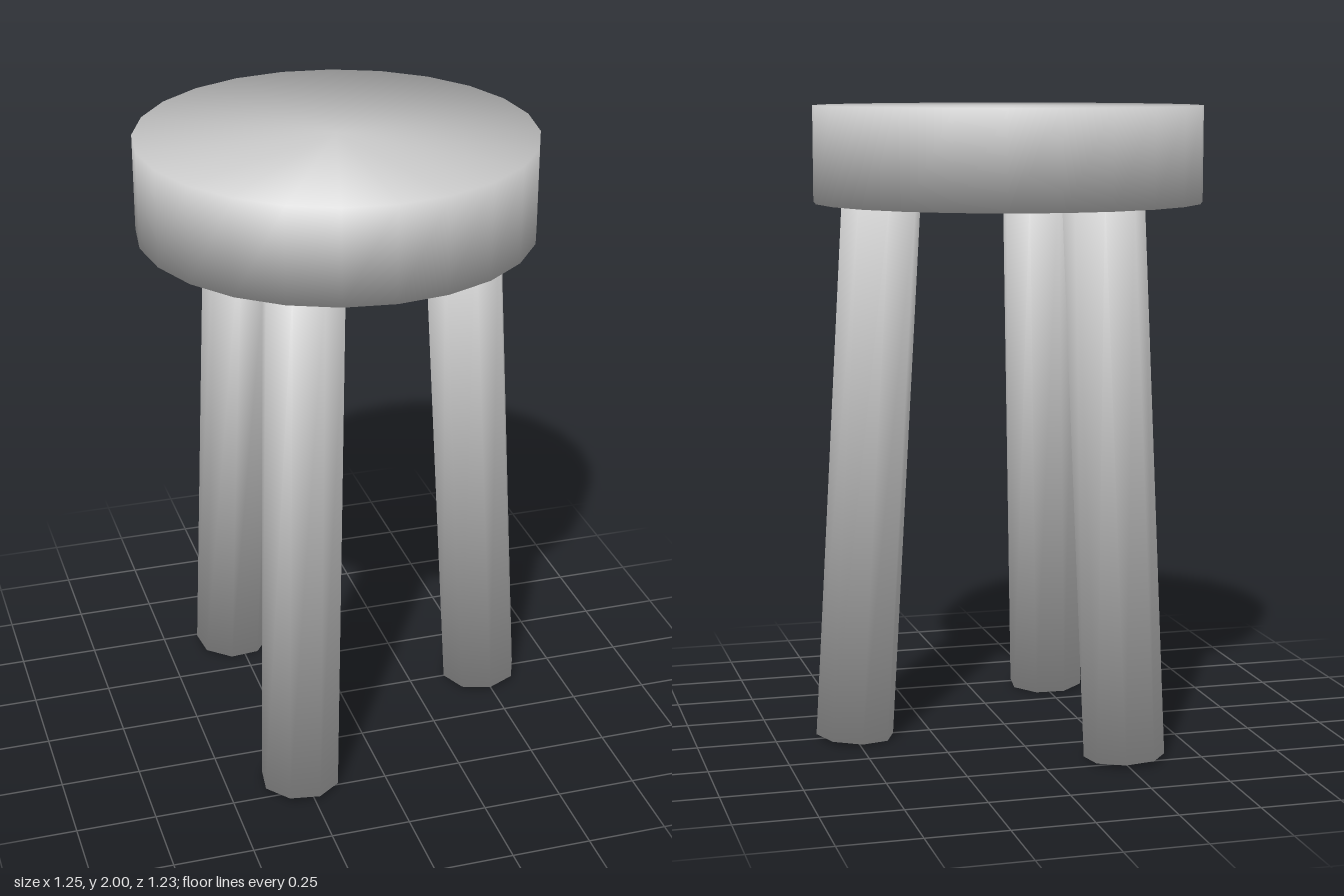
import * as THREE from 'three';

// Cylinder whose normals blend softly from the wall into both caps.
function softCylinder(radius, height, sides) {
  const geometry = new THREE.CylinderGeometry(radius, radius, height, sides);
  const { position, normal } = geometry.attributes;
  for (let i = 0; i < position.count; i++) {
    normal.setXYZ(
      i,
      (position.getX(i) / radius) * Math.SQRT1_2,
      Math.sign(position.getY(i)) * Math.SQRT1_2,
      (position.getZ(i) / radius) * Math.SQRT1_2
    );
  }
  return geometry;
}

export function createModel() {
  const model = new THREE.Group();
  model.name = 'stool';
  const grey = new THREE.MeshStandardMaterial({ color: 0xcccccc });
  grey.name = 'light grey';
  const centreX = -0.0125;

  // Thick round seat
  const seat = new THREE.Mesh(softCylinder(0.6125, 0.3, 24), grey);
  seat.name = 'seat';
  seat.position.set(centreX, 1.85, 0);
  model.add(seat);

  // Three splayed octagonal legs, one pointing to +x
  const legLength = 1.74;
  const splay = THREE.MathUtils.degToRad(3.4);
  const legGeometry = softCylinder(0.125, legLength, 8);
  for (let i = 0; i < 3; i++) {
    const leg = new THREE.Group();
    leg.name = `leg${i + 1}`;
    leg.position.x = centreX;
    leg.rotation.y = (i * Math.PI * 2) / 3;
    const post = new THREE.Mesh(legGeometry, grey);
    post.name = 'legPost';
    post.rotation.z = splay;
    post.position.set(
      0.508 - (legLength / 2) * Math.sin(splay),
      0.0075 + (legLength / 2) * Math.cos(splay),
      0
    );
    leg.add(post);
    model.add(leg);
  }
  return model;
}
